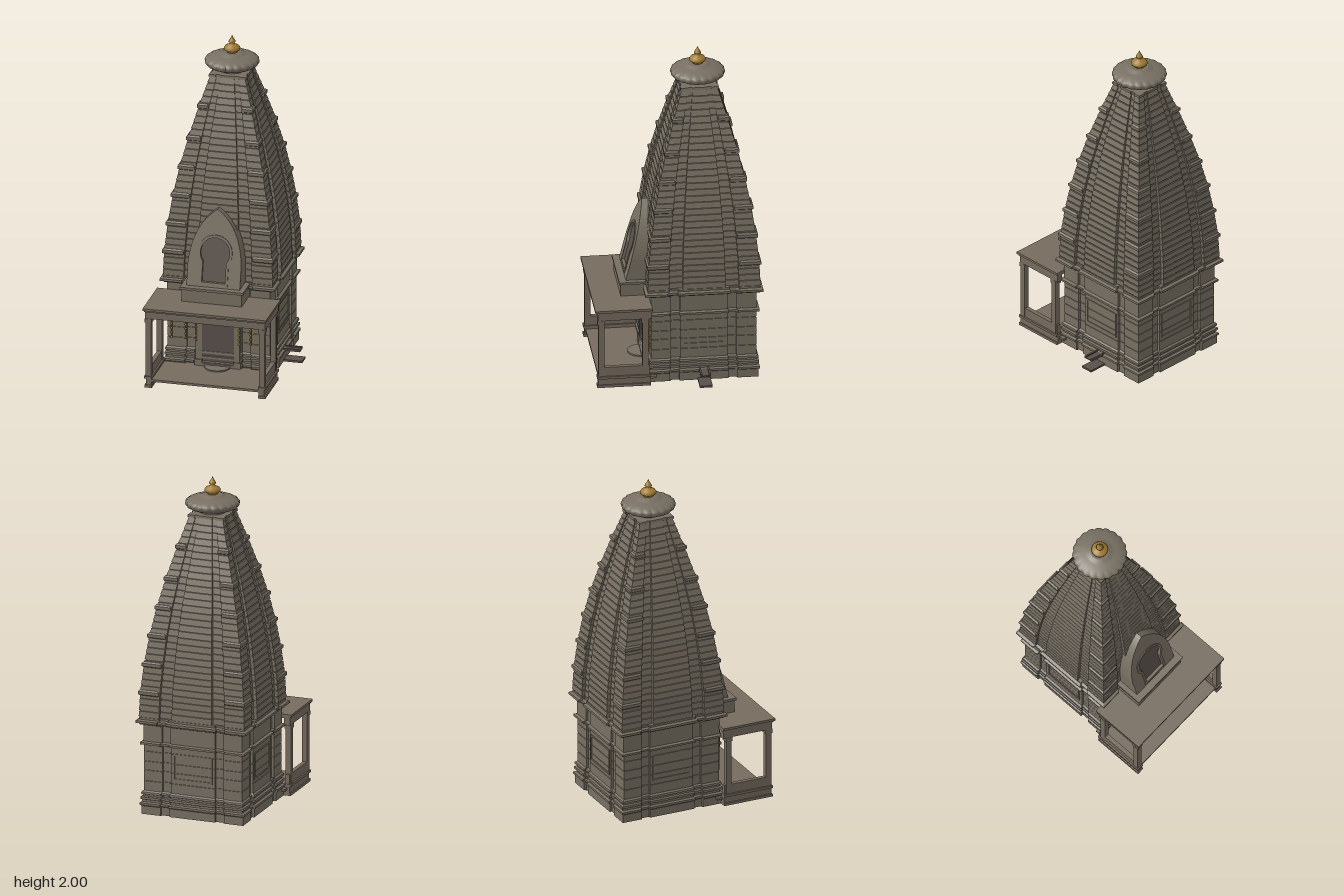
import * as THREE from 'three';

const mat = (name, color, extra = {}) => {
  const m = new THREE.MeshStandardMaterial({ color, ...extra });
  m.name = name;
  return m;
};

// Stepped square plan: corner piers, recesses and a middle bay, as shares of half-width h
const steppedPlan = (bay, recess) => (h) => {
  const d = recess * h, a = 0.62 * h, b = bay * h;
  const side = [[-h, h], [-a, h], [-a, d], [-b, d], [-b, h], [b, h], [b, d], [a, d], [a, h]];
  const pts = [];
  for (let k = 0; k < 4; k++) {
    for (const [x, z] of side) pts.push([[x, z], [z, -x], [-x, -z], [-z, x]][k]);
  }
  return pts;
};
const squarePlan = (h) => [[-h, h], [h, h], [h, -h], [-h, -h]];

// Stack of plans at rings [y, halfWidth], closed at both ends
function loft(rings, plan) {
  const pos = [];
  const loops = rings.map(([y, h]) => plan(h).map(([x, z]) => [x, y, z]));
  const n = loops[0].length, last = loops.length - 1;
  const bottom = [0, rings[0][0], 0], top = [0, rings[last][0], 0];
  for (let i = 0; i < n; i++) {
    const j = (i + 1) % n;
    for (let r = 0; r < last; r++) {
      const a = loops[r], b = loops[r + 1];
      pos.push(...a[i], ...a[j], ...b[j], ...a[i], ...b[j], ...b[i]);
    }
    pos.push(...bottom, ...loops[0][j], ...loops[0][i], ...top, ...loops[last][i], ...loops[last][j]);
  }
  const g = new THREE.BufferGeometry();
  g.setAttribute('position', new THREE.Float32BufferAttribute(pos, 3));
  g.computeVertexNormals();
  return g;
}

// Half-width of the curved spire at height y
const SPIRE = [[0.59, 0.329], [0.75, 0.322], [0.92, 0.304], [1.08, 0.281], [1.25, 0.248],
  [1.42, 0.207], [1.6, 0.157], [1.78, 0.102]];
function spireHalf(y) {
  let i = 0;
  while (i < SPIRE.length - 2 && y > SPIRE[i + 1][0]) i++;
  const [y0, h0] = SPIRE[i], [y1, h1] = SPIRE[i + 1];
  return h0 + (h1 - h0) * (y - y0) / (y1 - y0);
}

export function createModel() {
  const stone = mat('stone', 0x776f62, { flatShading: true });
  const smoothStone = mat('crownStone', 0x776f62);
  const porchStone = mat('porchStone', 0x766c5f);
  const dark = mat('darkRecess', 0x5a504a);
  const gold = mat('gold', 0xa07c32);

  const model = new THREE.Group();
  const tower = new THREE.Group();
  tower.name = 'tower';
  tower.position.set(-0.03, 0, -0.15);
  model.add(tower);

  const add = (parent, name, geo, material, x = 0, y = 0, z = 0) => {
    const m = new THREE.Mesh(geo, material);
    m.name = name;
    m.position.set(x, y, z);
    parent.add(m);
    return m;
  };
  // Box given by its limits
  const box = (parent, name, material, x0, x1, y0, y1, z0, z1) =>
    add(parent, name, new THREE.BoxGeometry(x1 - x0, y1 - y0, z1 - z0), material,
      (x0 + x1) / 2, (y0 + y1) / 2, (z0 + z1) / 2);

  // Moulded base and sanctum walls
  const wall = [[0, 0.318], [0.05, 0.318], [0.056, 0.326], [0.068, 0.326], [0.074, 0.312], [0.086, 0.312],
    [0.09, 0.322], [0.104, 0.322], [0.108, 0.31], [0.118, 0.31], [0.122, 0.32], [0.134, 0.318], [0.142, 0.307]];
  for (const y of [0.2, 0.265, 0.32, 0.38]) {
    wall.push([y, 0.307], [y + 0.001, 0.304], [y + 0.003, 0.304], [y + 0.004, 0.307]);
  }
  wall.push([0.418, 0.307], [0.424, 0.325], [0.436, 0.325], [0.442, 0.309], [0.54, 0.309], [0.546, 0.325],
    [0.555, 0.328], [0.558, 0.345], [0.572, 0.345], [0.578, 0.328], [0.59, 0.328]);
  add(tower, 'sanctumWalls', loft(wall, steppedPlan(0.45, 0.955)), stone);

  // Spire of finely grooved courses
  const rings = [], courses = 31, step = 1.18 / courses;
  for (let i = 0; i < courses; i++) {
    const y = 0.59 + i * step, h = spireHalf(y), h1 = spireHalf(y + step);
    rings.push([y, h - 0.005], [y + 0.005, h - 0.005], [y + 0.006, h + 0.001], [y + step - 0.001, h1 + 0.001]);
  }
  rings.push([1.771, 0.113], [1.785, 0.111]);
  add(tower, 'spire', loft(rings, steppedPlan(0.38, 0.935)), stone);

  // Rounded pads on the four corner piers
  const pads = new THREE.Group();
  pads.name = 'cornerPads';
  tower.add(pads);
  for (const y of [0.74, 0.908, 1.08, 1.245, 1.415, 1.6]) {
    const h = spireHalf(y), s = 0.18 * h + 0.006, c = 0.82 * h + 0.005;
    const pad = loft([[y - 0.017, s - 0.01], [y - 0.009, s], [y + 0.009, s], [y + 0.017, s - 0.01]], squarePlan);
    for (const sx of [-1, 1]) for (const sz of [-1, 1]) add(pads, 'cornerPad', pad, stone, sx * c, 0, sz * c);
  }

  // Framed wall panels on the back and both sides
  const rect = (P, w, y0, y1) => new P([[-w, y0], [w, y0], [w, y1], [-w, y1]].map((p) => new THREE.Vector2(...p)));
  const frame = rect(THREE.Shape, 0.122, 0.225, 0.385);
  frame.holes.push(rect(THREE.Path, 0.112, 0.235, 0.375));
  const frameGeo = new THREE.ExtrudeGeometry(frame, { depth: 0.008, bevelEnabled: false });
  frameGeo.translate(0, 0, 0.304);
  for (const turn of [1, 2, 3]) add(tower, 'wallPanel', frameGeo, stone).rotation.y = turn * Math.PI / 2;

  // Neck, lightly ribbed crown disc and finial
  add(tower, 'neck', new THREE.CylinderGeometry(0.075, 0.075, 0.06, 32), smoothStone, 0, 1.8, 0);
  const crown = new THREE.LatheGeometry(new THREE.SplineCurve([[0.06, 1.806], [0.115, 1.808], [0.15, 1.822],
    [0.16, 1.842], [0.15, 1.858], [0.115, 1.873], [0.08, 1.882]].map((p) => new THREE.Vector2(...p))).getPoints(18), 120);
  const cp = crown.attributes.position;
  for (let i = 0; i < cp.count; i++) {
    const x = cp.getX(i), z = cp.getZ(i), r = Math.hypot(x, z);
    const rib = 1 - 0.045 * (1 - Math.abs(Math.sin(10 * Math.atan2(z, x)))) * THREE.MathUtils.smoothstep(r, 0.115, 0.155);
    cp.setX(i, x * rib);
    cp.setZ(i, z * rib);
  }
  crown.computeVertexNormals();
  add(tower, 'ribbedCrown', crown, smoothStone);
  add(tower, 'crownCap', new THREE.CylinderGeometry(0.055, 0.081, 0.012, 32), smoothStone, 0, 1.887, 0);
  add(tower, 'finial', new THREE.LatheGeometry([[0, 1.89], [0.03, 1.892], [0.032, 1.9], [0.046, 1.91], [0.048, 1.92],
    [0.04, 1.932], [0.018, 1.942], [0.012, 1.95], [0.021, 1.958], [0.018, 1.966], [0.008, 1.982], [0, 2]]
    .map((p) => new THREE.Vector2(...p)), 32), gold);

  // Water spout on the left wall
  const spout = new THREE.Group();
  spout.name = 'waterSpout';
  model.add(spout);
  box(spout, 'spoutChannel', dark, 0.27, 0.385, 0.064, 0.07, -0.18, -0.12);
  for (const z of [-0.18, -0.13]) box(spout, 'spoutLip', dark, 0.27, 0.385, 0.07, 0.078, z, z + 0.01);
  box(spout, 'drainSlab', dark, 0.27, 0.4, 0, 0.012, -0.188, -0.113);

  // Porch, symmetric about x = -0.03
  const porch = new THREE.Group();
  porch.name = 'porch';
  porch.position.x = -0.03;
  model.add(porch);
  box(porch, 'porchFloor', porchStone, -0.34, 0.34, 0.034, 0.048, 0.13, 0.465);
  box(porch, 'porchRoof', porchStone, -0.37, 0.37, 0.483, 0.497, 0.155, 0.49);
  box(porch, 'roofUnderSlab', porchStone, -0.362, 0.362, 0.473, 0.483, 0.155, 0.482);
  box(porch, 'frontBeam', porchStone, -0.36, 0.36, 0.43, 0.473, 0.437, 0.473);
  for (const s of [-1, 1]) {
    const sideBox = (name, a, b, ...r) => box(porch, name, porchStone, Math.min(s * a, s * b), Math.max(s * a, s * b), ...r);
    sideBox('sideFooting', 0.318, 0.362, 0, 0.016, 0.165, 0.478);
    sideBox('sidePlinth', 0.322, 0.354, 0.016, 0.055, 0.165, 0.472);
    sideBox('plinthCap', 0.318, 0.364, 0.055, 0.07, 0.165, 0.478);
    sideBox('sideRail', 0.328, 0.354, 0.07, 0.127, 0.17, 0.46);
    sideBox('sideBeam', 0.324, 0.36, 0.43, 0.473, 0.16, 0.473);
    for (const z of [0.18, 0.437]) {
      sideBox('column', 0.325, 0.357, 0.07, 0.43, z, z + 0.034);
      sideBox('columnCapital', 0.32, 0.361, 0.405, 0.43, z - 0.005, z + 0.039);
    }
  }

  // Doorway with jambs, lintel and semicircular threshold
  const door = new THREE.Group();
  door.name = 'doorway';
  door.position.x = -0.03;
  model.add(door);
  box(door, 'doorPanel', dark, -0.1, 0.1, 0.06, 0.37, 0.158, 0.166);
  for (const s of [-1, 1]) {
    box(door, 'outerJamb', stone, s * 0.118 - 0.014, s * 0.118 + 0.014, 0.04, 0.4, 0.15, 0.18);
    box(door, 'innerJamb', stone, s * 0.101 - 0.004, s * 0.101 + 0.004, 0.04, 0.37, 0.15, 0.173);
    box(door, 'jambFoot', stone, s * 0.116 - 0.022, s * 0.116 + 0.022, 0.04, 0.085, 0.15, 0.186);
  }
  box(door, 'lintel', stone, -0.132, 0.132, 0.37, 0.4, 0.15, 0.18);
  box(door, 'doorSill', stone, -0.105, 0.105, 0.04, 0.065, 0.15, 0.186);
  add(door, 'thresholdStone', new THREE.CylinderGeometry(0.075, 0.075, 0.008, 32, 1, false, -Math.PI / 2, Math.PI),
    stone, 0, 0.052, 0.185);

  // Hanging garlands and the swag over the door
  const garlands = new THREE.Group();
  garlands.name = 'garlands';
  garlands.position.x = -0.03;
  model.add(garlands);
  const bead = new THREE.SphereGeometry(0.007, 10, 8);
  const strand = new THREE.CylinderGeometry(0.0045, 0.0045, 0.21, 10);
  for (const x of [-0.28, -0.195, -0.13, 0.13, 0.195, 0.28]) {
    const z = Math.abs(x) < 0.15 ? 0.184 : 0.168;
    add(garlands, 'garlandStrand', strand, gold, x, 0.308, z);
    for (let i = 0; i < 8; i++) add(garlands, 'garlandBead', bead, gold, x, 0.205 + i * 0.028, z);
  }
  const swag = [];
  for (let i = 0; i <= 24; i++) {
    swag.push(new THREE.Vector3(-0.13 + i * 0.26 / 24, 0.388 - 0.022 * Math.abs(Math.sin(i * Math.PI / 8)), 0.184));
  }
  add(garlands, 'doorSwag', new THREE.TubeGeometry(new THREE.CatmullRomCurve3(swag), 72, 0.005, 8), gold);

  // Pointed gable leaning back against the spire, with a keyhole niche
  const gable = new THREE.Group();
  gable.name = 'gable';
  gable.position.set(-0.03, 0, 0.288);
  model.add(gable);
  box(gable, 'gablePlinth', stone, -0.18, 0.18, 0.497, 0.572, -0.16, 0.032);
  box(gable, 'gablePlinthCap', stone, -0.19, 0.19, 0.572, 0.587, -0.16, 0.041);
  const lean = (geo) => {
    const p = geo.attributes.position;
    for (let i = 0; i < p.count; i++) p.setZ(i, p.getZ(i) - (p.getY(i) - 0.587) * 0.25);
    geo.computeVertexNormals();
    return geo;
  };
  // Keyhole outline, widened by w for the niche surround
  const keyhole = (P, w = 0) => {
    const k = new P();
    k.moveTo(-0.07 - w, 0.615 - w);
    k.lineTo(0.07 + w, 0.615 - w);
    k.lineTo(0.07 + w, 0.732);
    k.absarc(0, 0.785, 0.088 + w, -0.65, Math.PI + 0.65, false);
    k.closePath();
    return k;
  };
  const arch = new THREE.Shape();
  arch.moveTo(-0.16, 0.587);
  arch.lineTo(0.16, 0.587);
  arch.lineTo(0.16, 0.72);
  arch.quadraticCurveTo(0.145, 0.94, 0, 1.035);
  arch.quadraticCurveTo(-0.145, 0.94, -0.16, 0.72);
  arch.closePath();
  const surround = keyhole(THREE.Shape, 0.015);
  for (const shape of [arch, surround]) shape.holes.push(keyhole(THREE.Path));
  const slab = (shape, z0, z1) => lean(new THREE.ExtrudeGeometry(shape,
    { depth: z1 - z0, bevelEnabled: false, curveSegments: 16 }).translate(0, 0, z0));
  add(gable, 'gableArch', slab(arch, -0.16, 0), stone);
  add(gable, 'nicheSurround', slab(surround, -0.01, 0.005), stone);
  add(gable, 'nichePanel', lean(new THREE.ShapeGeometry(keyhole(THREE.Shape), 16).translate(0, 0, -0.012)), dark);

  return model;
}
